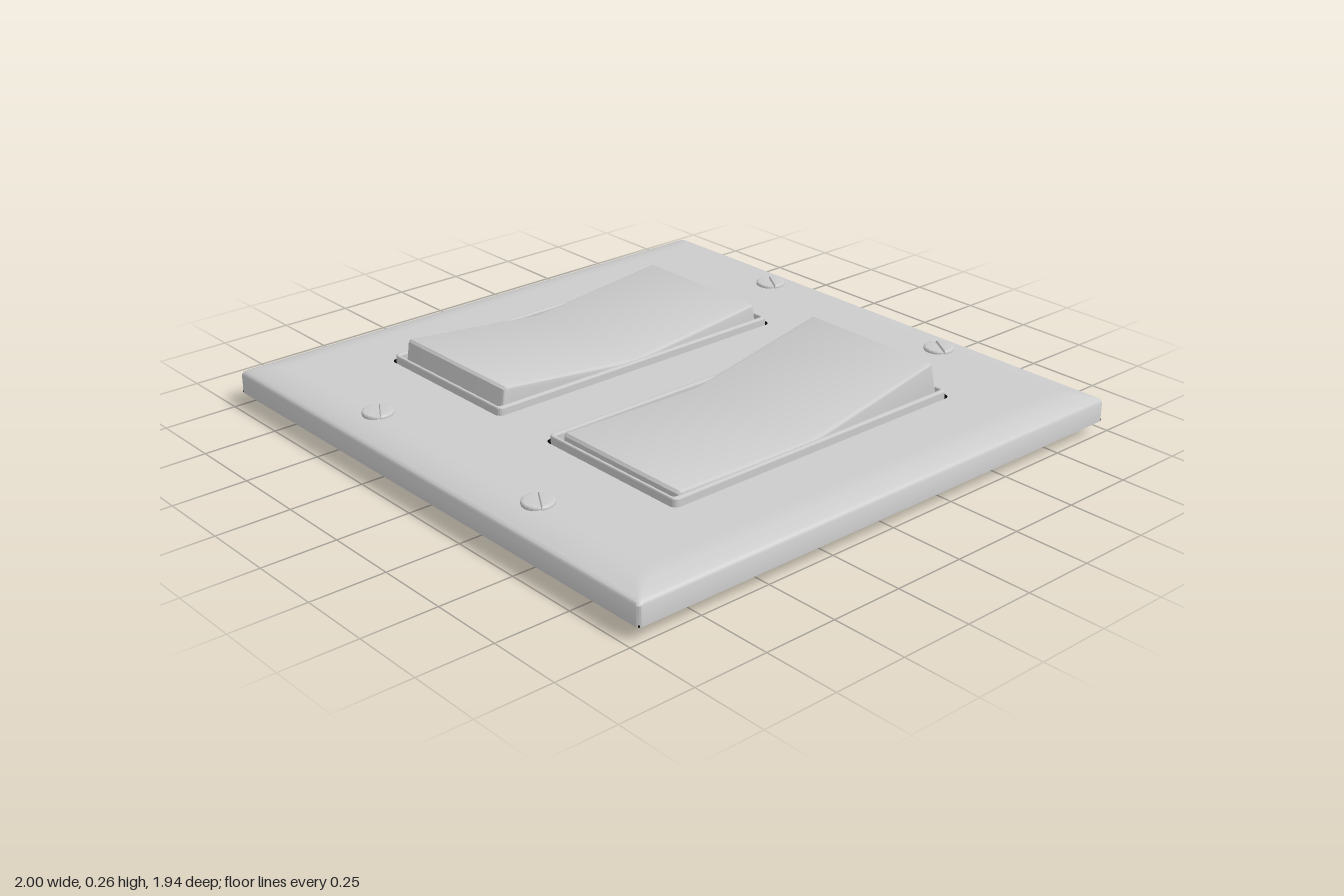
import * as THREE from 'three';
import { toCreasedNormals } from 'three/addons/utils/BufferGeometryUtils.js';

const light = new THREE.MeshStandardMaterial({ color: 0xcccccc });
light.name = 'lightGrey';
const black = new THREE.MeshStandardMaterial({ color: 0x050505 });
black.name = 'black';

const HALF_X = 1, HALF_Z = 0.97, TOP = 0.142, BASE = 0.045;
const SWITCHES = [{ x: -0.408, tilt: 0 }, { x: 0.405, tilt: 0.092 }];

function mesh(name, geometry, material = light) {
  const m = new THREE.Mesh(geometry, material);
  m.name = name;
  return m;
}

// Counter-clockwise outline points of a rounded rectangle
function roundedRect(hx, hy, r, cx = 0, steps = 4) {
  const pts = [];
  [[1, 1], [-1, 1], [-1, -1], [1, -1]].forEach(([sx, sy], q) => {
    for (let i = 0; i <= steps; i++) {
      const a = (q + i / steps) * Math.PI / 2;
      pts.push(new THREE.Vector2(
        cx + sx * (hx - r) + r * Math.cos(a), sy * (hy - r) + r * Math.sin(a)));
    }
  });
  return pts;
}

// Side wall and rounded shoulder of the plate, lofted through inset loops
function skirtGeometry() {
  const loops = [[0, BASE], [0, 0.108], [0.004, 0.116], [0.014, 0.122],
    [0.035, 0.130], [0.06, 0.137], [0.085, 0.141], [0.11, TOP]];
  const pos = [], index = [];
  let n = 0;
  loops.forEach(([inset, y], k) => {
    const ring = roundedRect(HALF_X - inset, HALF_Z - inset, 0.015);
    n = ring.length;
    ring.forEach(p => pos.push(p.x, y, -p.y));
    if (k === 0) return;
    for (let i = 0; i < n; i++) {
      const j = (i + 1) % n, a = (k - 1) * n, b = k * n;
      index.push(a + i, a + j, b + j, a + i, b + j, b + i);
    }
  });
  const g = new THREE.BufferGeometry();
  g.setAttribute('position', new THREE.Float32BufferAttribute(pos, 3));
  g.setIndex(index);
  g.computeVertexNormals();
  return toCreasedNormals(g, 0.6);
}

// Flat face of the plate with the two switch openings
function faceGeometry() {
  const shape = new THREE.Shape(roundedRect(HALF_X - 0.11, HALF_Z - 0.11, 0.015));
  SWITCHES.forEach(s => shape.holes.push(
    new THREE.Path(roundedRect(0.294, 0.579, 0.022, s.x))));
  return new THREE.ShapeGeometry(shape).rotateX(-Math.PI / 2).translate(0, TOP, 0);
}

// Raised collar around a rocker
function collarGeometry() {
  const bevel = 0.005, y0 = 0.05, y1 = 0.165;
  const shape = new THREE.Shape(roundedRect(0.286, 0.571, 0.018));
  shape.holes.push(new THREE.Path(roundedRect(0.268, 0.56, 0.01)));
  return new THREE.ExtrudeGeometry(shape, {
    depth: y1 - y0 - 2 * bevel, bevelThickness: bevel, bevelSize: bevel,
    bevelOffset: -bevel, bevelSegments: 2,
  }).rotateX(-Math.PI / 2).translate(0, y0 + bevel, 0);
}

// Rocker: shallow V on top, flat below, ends drafted; origin at the pivot
function rockerGeometry() {
  const bevel = 0.012, width = 0.525;
  const shape = new THREE.Shape([
    [-0.553, -0.104], [0.553, -0.104], [0.532, 0.047], [0.524, 0.055],
    [0, 0], [-0.524, 0.055], [-0.532, 0.047],
  ].map(p => new THREE.Vector2(...p)));
  const g = new THREE.ExtrudeGeometry(shape, {
    depth: width - 2 * bevel, bevelThickness: bevel, bevelSize: bevel,
    bevelOffset: -bevel, bevelSegments: 3,
  });
  g.translate(0, 0, bevel - width / 2).rotateY(-Math.PI / 2);
  return toCreasedNormals(g, 0.6);
}

// Half of a slotted screw head: a disc segment beside the slot
function headHalfGeometry() {
  const r = 0.05, slot = 0.005, a = Math.asin(slot / r), bevel = 0.006;
  const shape = new THREE.Shape();
  shape.absarc(0, 0, r, a, Math.PI - a, false);
  shape.closePath();
  const g = new THREE.ExtrudeGeometry(shape, {
    depth: 0.007, bevelThickness: bevel, bevelSize: bevel, bevelOffset: -bevel,
    bevelSegments: 3, curveSegments: 20,
  });
  // keep the slot narrow after the inward bevel
  return toCreasedNormals(g.rotateX(-Math.PI / 2).translate(0, bevel, 0), 0.6);
}

function createScrew(x, z) {
  const screw = new THREE.Group();
  screw.name = 'screw';
  const half = headHalfGeometry();
  [0, Math.PI].forEach(turn => {
    const m = mesh('screwHeadHalf', half);
    m.rotation.y = turn;
    m.position.y = 0.134;
    screw.add(m);
  });
  const core = mesh('screwCore', new THREE.CylinderGeometry(0.045, 0.045, 0.008, 24));
  core.position.y = 0.141;
  const shaft = mesh('screwShaft', new THREE.CylinderGeometry(0.022, 0.022, 0.135, 16));
  shaft.position.y = 0.0675;
  screw.add(core, shaft);
  screw.position.set(x, 0, z);
  screw.rotation.y = -0.55;
  return screw;
}

export function createModel() {
  const model = new THREE.Group();
  model.name = 'doubleSwitchPlate';

  // Wall plate
  const plate = new THREE.Group();
  plate.name = 'wallPlate';
  const back = mesh('plateBack',
    new THREE.BoxGeometry(2 * HALF_X - 0.006, 0.006, 2 * HALF_Z - 0.006), black);
  back.position.y = BASE + 0.003;
  plate.add(mesh('plateEdge', skirtGeometry()), mesh('plateFace', faceGeometry()), back);
  model.add(plate);

  // Switches: one level, one pressed at the front
  const collarGeo = collarGeometry(), rockerGeo = rockerGeometry();
  SWITCHES.forEach(({ x, tilt }) => {
    const collar = mesh('switchCollar', collarGeo);
    collar.position.x = x;
    const rocker = mesh('rocker', rockerGeo);
    rocker.position.set(x, 0.16, 0);
    rocker.rotation.x = tilt;
    model.add(collar, rocker);
  });

  // Four slotted screws
  for (const x of [-0.385, 0.417])
    for (const z of [-0.842, 0.842]) model.add(createScrew(x, z));

  return model;
}
